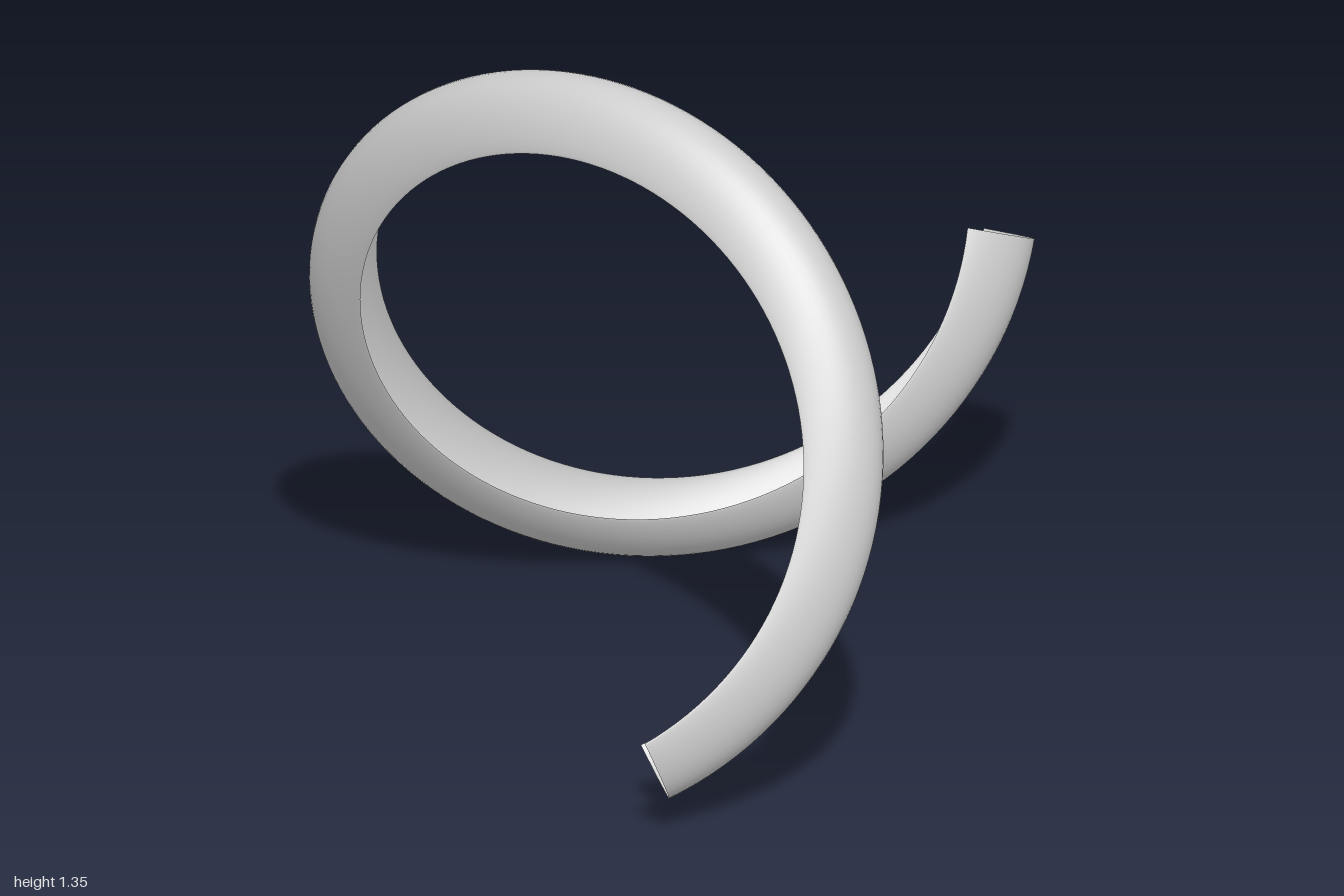
import * as THREE from 'three';
import { ParametricGeometry } from 'three/addons/geometries/ParametricGeometry.js';

const AXIS_Y = 0.677;          // height of the helix axis, which runs along z
const EDGE_R = 0.553;          // radius of the open edges of the channel
const DEPTH = 0.123, HALF_WIDTH = 0.111;
const START = -65 * Math.PI / 180, END = 353.8 * Math.PI / 180;
const Z_START = 0.9, Z_END = -0.9;
const START_TILT = 0.26;       // roll of the section, fading out along the coil

// Slope of the coil, used to keep the section square to its path
const slope = (Z_START - Z_END) / ((END - START) * 0.6);
const cosS = 1 / Math.hypot(1, slope), sinS = slope * cosS;

// Point on the channel: t runs along the coil, s across the rounded section
function channelPoint(t, s, target) {
  const phi = START + (END - START) * t;
  const a = (s - 0.5) * Math.PI;
  const across = HALF_WIDTH * Math.sin(a);
  const out = DEPTH * Math.pow(Math.max(Math.cos(a), 0), 1.5);

  const tilt = START_TILT * Math.pow(1 - t, 1.5);
  const side = across * Math.cos(tilt) + out * Math.sin(tilt);
  const r = EDGE_R + out * Math.cos(tilt) - across * Math.sin(tilt);

  const c = Math.cos(phi), n = Math.sin(phi);
  target.set(
    r * c - side * sinS * n,
    AXIS_Y + r * n + side * sinS * c,
    Z_START + (Z_END - Z_START) * t + side * cosS
  );
}

export function createModel() {
  const grey = new THREE.MeshStandardMaterial({ color: 0xcccccc, side: THREE.DoubleSide });
  grey.name = 'light grey';

  // Thin half-round channel wound into a spiral
  const coil = new THREE.Mesh(new ParametricGeometry(channelPoint, 160, 24), grey);
  coil.name = 'spiralChannel';

  const model = new THREE.Group();
  model.name = 'spiral';
  model.add(coil);
  return model;
}
